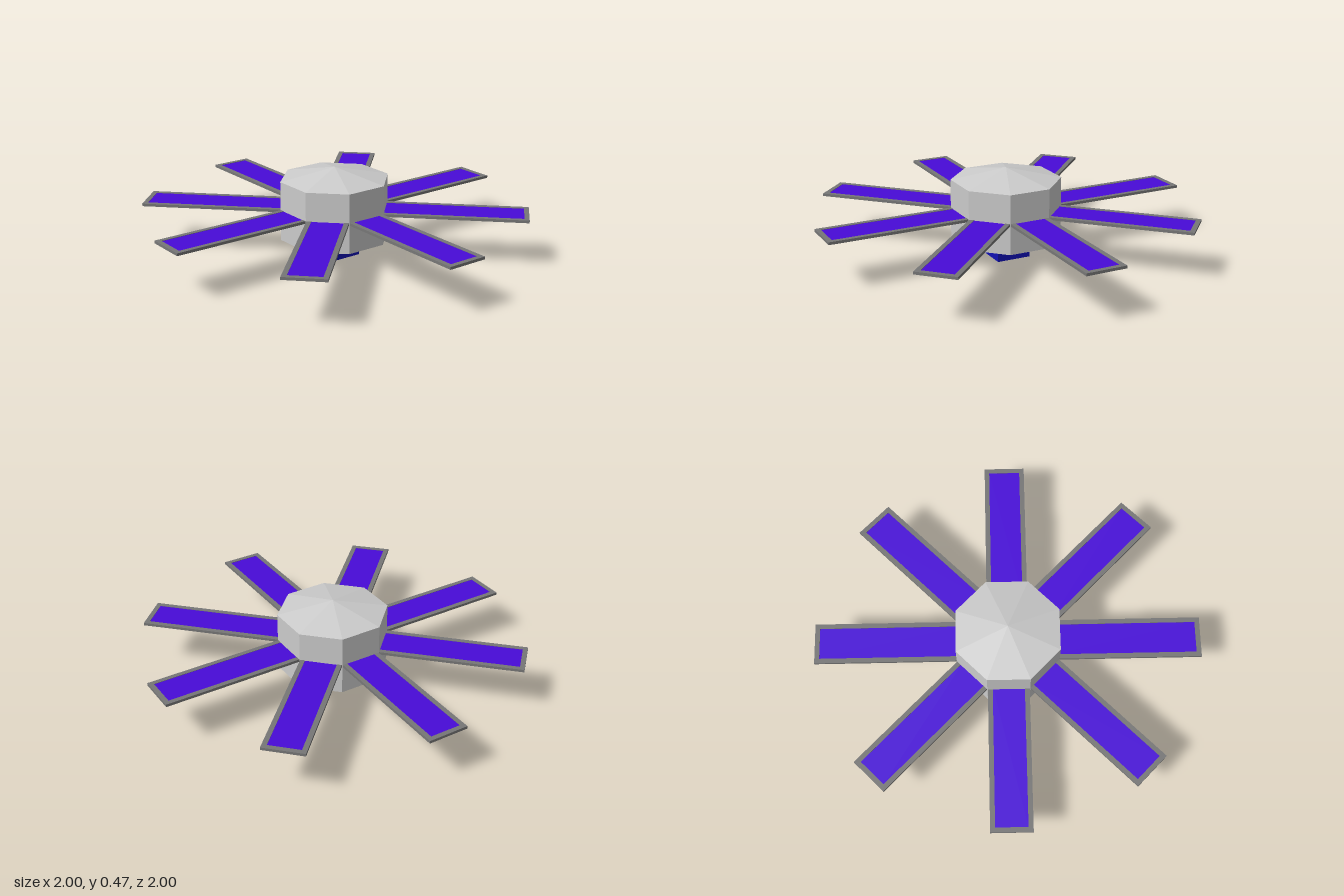
import * as THREE from 'three';

const mat = (color) => new THREE.MeshStandardMaterial({ color, flatShading: true });

function mesh(name, geometry, material, y = 0) {
  const m = new THREE.Mesh(geometry, material);
  m.name = name;
  m.position.y = y;
  return m;
}

export function createModel() {
  const model = new THREE.Group();
  model.name = 'satellite';
  const hullMat = mat(0xcccccc);
  const frameMat = mat(0x777777);
  const cellMat = mat(0x480bd8);
  const sensorMat = mat(0x1010b4);

  // Eight-sided hull: tapered base, straight walls, shallow pointed roof
  const corner = 1 / Math.cos(Math.PI / 8); // flat-to-centre distance -> corner radius
  const profile = [[0, 0.042], [0.09, 0.042], [0.265, 0.1], [0.265, 0.415], [0, 0.475]]
    .map(([r, y]) => new THREE.Vector2(r * corner, y));
  model.add(mesh('hull', new THREE.LatheGeometry(profile, 8, Math.PI / 8), hullMat));

  // Square sensor block under the hull
  model.add(mesh('sensor', new THREE.BoxGeometry(0.184, 0.045, 0.184), sensorMat, 0.0225));

  // Solar panel: three-sided frame, open where it enters the hull
  const inner = 0.25, outer = 1, half = 0.107, rim = 0.025, thick = 0.014;
  const outline = new THREE.Shape([
    [inner, -half], [outer, -half], [outer, half], [inner, half],
    [inner, half - rim], [outer - rim, half - rim], [outer - rim, rim - half], [inner, rim - half],
  ].map(([x, y]) => new THREE.Vector2(x, y)));
  const frameGeo = new THREE.ExtrudeGeometry(outline, { depth: thick, bevelEnabled: false });
  frameGeo.rotateX(-Math.PI / 2);
  const cellGeo = new THREE.BoxGeometry(outer - rim - inner, thick * 0.7, 2 * (half - rim));
  cellGeo.translate((inner + outer - rim) / 2, thick / 2, 0);

  // Eight panels, one on each hull wall
  for (let i = 0; i < 8; i++) {
    const panel = new THREE.Group();
    panel.name = `solarPanel${i + 1}`;
    panel.add(mesh('panelFrame', frameGeo, frameMat), mesh('solarCells', cellGeo, cellMat));
    panel.position.y = 0.251;
    panel.rotation.y = (i * Math.PI) / 4;
    model.add(panel);
  }
  return model;
}
